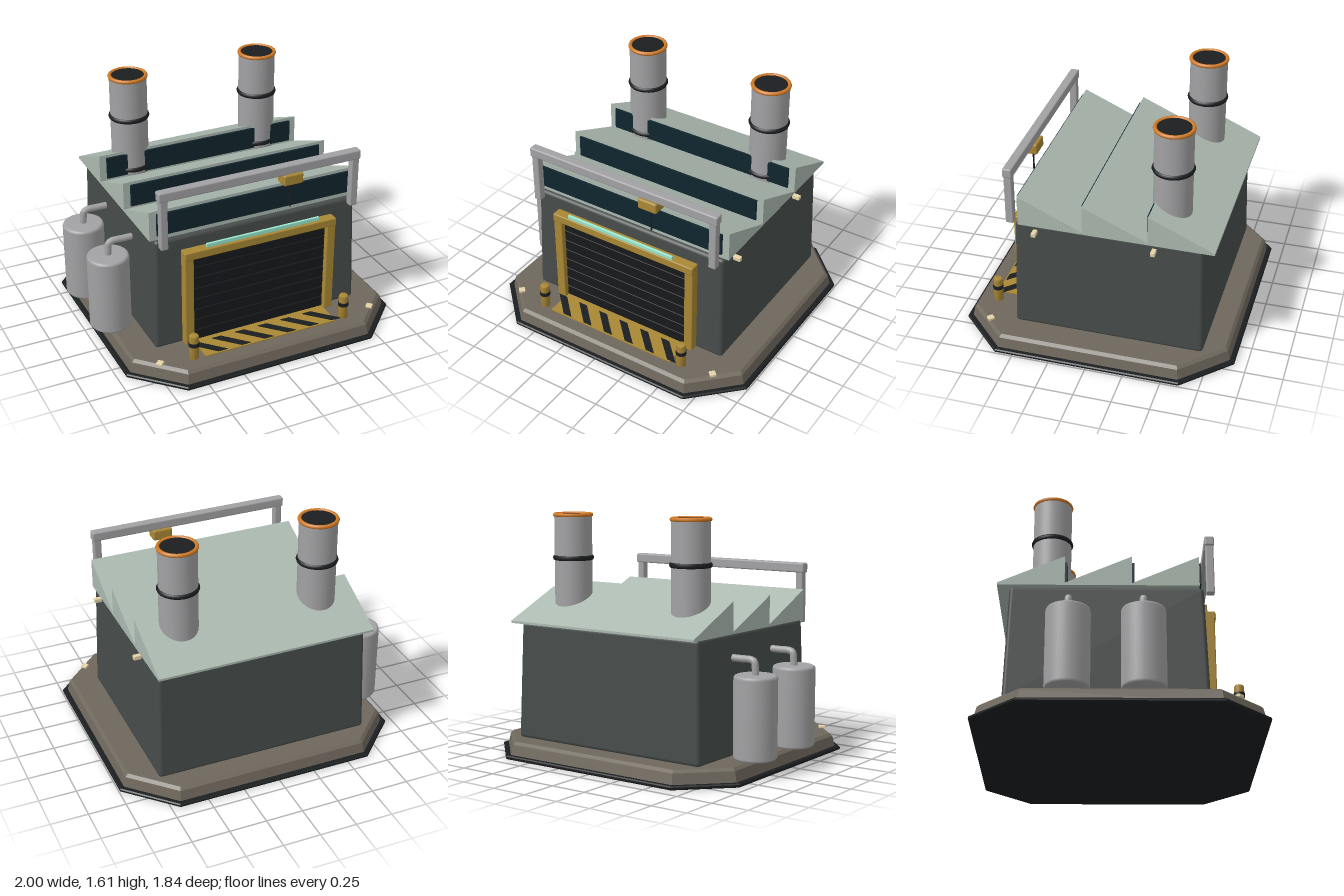
import * as THREE from 'three';
import { RoundedBoxGeometry } from 'three/addons/geometries/RoundedBoxGeometry.js';

const mat = (color) => new THREE.MeshStandardMaterial({ color });
const M = {
  trim: mat(0x1b1e20), base: mat(0x6e675c), wall: mat(0x474d4b), roof: mat(0xabb9b0),
  glass: mat(0x11262e), metal: mat(0xa2a2a4), gold: mat(0xa98734), orange: mat(0xd07a26),
  door: mat(0x17191a), light: mat(0x9be8cf), lamp: mat(0xe6d3a8),
};
const CX = 0.025; // centre line of the building

export function createModel() {
  const root = new THREE.Group();

  const add = (name, geometry, material, x = 0, y = 0, z = 0, parent = root) => {
    const mesh = new THREE.Mesh(geometry, material);
    mesh.name = name;
    mesh.position.set(x, y, z);
    parent.add(mesh);
    return mesh;
  };
  // Softly rounded block given by its extents
  const block = (name, material, [x0, x1], [y0, y1], [z0, z1], r = 0.008) => {
    const w = x1 - x0, h = y1 - y0, d = z1 - z0;
    const geo = r ? new RoundedBoxGeometry(w, h, d, 2, r) : new THREE.BoxGeometry(w, h, d);
    return add(name, geo, material, (x0 + x1) / 2, (y0 + y1) / 2, (z0 + z1) / 2);
  };

  // Octagonal slab lofted through rings of [inset, height]
  const slab = (rings) => {
    const ring = ([inset, y]) => {
      const a = 0.97 - inset, b = 0.92 - inset, c = 0.3 - inset * 0.586;
      return [[a, b - c], [a - c, b], [c - a, b], [-a, b - c], [-a, c - b], [c - a, -b], [a - c, -b], [a, c - b]]
        .map(([x, z]) => [x, y, z]);
    };
    const loops = rings.map(ring);
    const pos = [];
    const tri = (...p) => p.forEach((v) => pos.push(...v));
    const top = loops.length - 1;
    for (let i = 0; i < 8; i++) {
      const j = (i + 1) % 8;
      for (let k = 0; k < top; k++) {
        const [a, b, c, d] = [loops[k][i], loops[k][j], loops[k + 1][j], loops[k + 1][i]];
        tri(a, d, c);
        tri(a, c, b);
      }
      tri([0, rings[0][1], 0], loops[0][i], loops[0][j]);
      tri([0, rings[top][1], 0], loops[top][j], loops[top][i]);
    }
    const geo = new THREE.BufferGeometry();
    geo.setAttribute('position', new THREE.Float32BufferAttribute(pos, 3));
    geo.computeVertexNormals();
    return geo;
  };
  add('baseTrim', slab([[0.007, 0], [0, 0.007], [0, 0.018], [0.007, 0.025]]), M.trim, CX);
  add('basePlatform', slab([[0.03, 0.015], [0.048, 0.092], [0.068, 0.11]]), M.base, CX);

  // Walls: rounded box drawn in towards the top
  const walls = new RoundedBoxGeometry(1.47, 0.78, 1.27, 3, 0.025);
  const p = walls.attributes.position;
  for (let i = 0; i < p.count; i++) {
    const t = p.getY(i) / 0.78 + 0.5;
    p.setX(i, p.getX(i) * (1 - 0.03 * t));
    p.setZ(i, p.getZ(i) * (1 - 0.035 * t));
  }
  add('walls', walls, M.wall, CX, 0.495, -0.085);

  // Saw-tooth roof with a glazed strip on each upright face
  const tooth = new THREE.Shape([[0, 0], [0.425, 0], [0.425, 0.205], [0, 0.015]].map(([x, y]) => new THREE.Vector2(x, y)));
  const toothGeo = new THREE.ExtrudeGeometry(tooth, { depth: 1.475, bevelEnabled: false });
  toothGeo.rotateY(-Math.PI / 2); // profile along z, length along -x
  for (let i = 0; i < 3; i++) {
    const front = 0.5 - i * 0.425;
    add('roofTooth', toothGeo, M.roof, 0.7625, 0.885, front - 0.425);
    block('roofWindow', M.glass, [-0.665, 0.715], [0.92, 1.07], [front - 0.01, front + 0.015], 0);
  }

  // Chimneys
  for (const x of [-0.455, 0.5]) {
    const chimney = new THREE.Group();
    chimney.name = 'chimney';
    chimney.position.set(x, 0, -0.443);
    root.add(chimney);
    add('stack', new THREE.CylinderGeometry(0.125, 0.125, 0.71, 32), M.metal, 0, 1.24, 0, chimney);
    add('flue', new THREE.CylinderGeometry(0.112, 0.112, 0.01, 32), M.trim, 0, 1.593, 0, chimney);
    const rim = add('rim', new THREE.TorusGeometry(0.12, 0.0135, 8, 32), M.orange, 0, 1.593, 0, chimney);
    rim.rotation.x = Math.PI / 2;
    for (const y of [0.95, 1.31]) {
      const band = add('band', new THREE.TorusGeometry(0.118, 0.019, 8, 32), M.trim, 0, y, 0, chimney);
      band.rotation.x = Math.PI / 2;
    }
  }

  // Storage tanks with elbow pipes into the wall
  const tankProfile = [[0, 0.11], [0.13, 0.11], [0.139, 0.125], [0.139, 0.62], [0.134, 0.634], [0.122, 0.64], [0, 0.64]]
    .map(([r, y]) => new THREE.Vector2(r, y));
  const elbow = new THREE.CatmullRomCurve3([
    [0, 0.62, 0], [0.004, 0.68, 0], [0.01, 0.72, 0], [0.035, 0.732, 0], [0.1, 0.732, 0], [0.19, 0.732, 0],
  ].map((v) => new THREE.Vector3(...v)));
  for (const z of [-0.32, 0.14]) {
    add('tank', new THREE.LatheGeometry(tankProfile, 32), M.metal, -0.861, 0, z);
    add('tankPipe', new THREE.TubeGeometry(elbow, 24, 0.023, 10), M.metal, -0.861, 0, z);
  }

  // Loading door: slatted shutter in a heavy frame
  block('door', M.door, [-0.47, 0.515], [0.11, 0.75], [0.5, 0.562], 0);
  for (let i = 0; i < 8; i++) {
    const y = 0.115 + i * 0.079;
    block('doorSlat', M.door, [-0.46, 0.505], [y, y + 0.073], [0.55, 0.57], 0.004);
  }
  block('doorPost', M.gold, [-0.52, -0.457], [0.11, 0.76], [0.54, 0.605]);
  block('doorPost', M.gold, [0.502, 0.565], [0.11, 0.76], [0.54, 0.605]);
  block('doorLintel', M.gold, [-0.52, 0.565], [0.745, 0.802], [0.538, 0.61]);
  block('doorLight', M.light, [-0.38, 0.425], [0.825, 0.853], [0.612, 0.628], 0.003);

  // Striped loading apron
  block('apron', M.gold, [-0.455, 0.5], [0.105, 0.117], [0.57, 0.77], 0);
  const stripe = new THREE.Shape([[-0.13, -0.075], [-0.065, -0.075], [0.08, 0.075], [0.015, 0.075]]
    .map(([x, z]) => new THREE.Vector2(x, z)));
  const stripeGeo = new THREE.ExtrudeGeometry(stripe, { depth: 0.006, bevelEnabled: false });
  stripeGeo.rotateX(Math.PI / 2);
  for (let i = 0; i < 6; i++) add('apronStripe', stripeGeo, M.trim, -0.375 + i * 0.167, 0.121, 0.685);

  // Bollards beside the apron
  for (const x of [-0.525, 0.57]) {
    const profile = [[0, 0.11], [0.032, 0.11], [0.032, 0.272], [0.026, 0.281], [0, 0.281]];
    add('bollard', new THREE.LatheGeometry(profile.map(([r, y]) => new THREE.Vector2(r, y)), 20), M.gold, x, 0, 0.74);
    add('bollardBand', new THREE.CylinderGeometry(0.035, 0.035, 0.028, 20), M.trim, x, 0.215, 0.74);
  }

  // Hoist gantry
  block('gantryPost', M.metal, [-0.675, -0.625], [0.857, 1.21], [0.545, 0.598]);
  block('gantryPost', M.metal, [0.67, 0.722], [0.857, 1.21], [0.545, 0.598]);
  block('gantryBeam', M.metal, [-0.685, 0.73], [1.195, 1.26], [0.54, 0.602], 0.01);
  block('hoist', M.gold, [0.165, 0.303], [1.125, 1.2], [0.52, 0.62], 0.012);
  add('hoistCable', new THREE.CylinderGeometry(0.006, 0.006, 0.19, 8), M.trim, 0.235, 1.045, 0.57);

  // Marker lamps on the wall and on the platform corners
  for (const z of [-0.387, 0.392]) block('wallLamp', M.lamp, [0.735, 0.79], [0.82, 0.85], [z - 0.015, z + 0.015], 0.004);
  for (const x of [-0.75, 0.793]) {
    const lamp = block('cornerLamp', M.lamp, [x - 0.021, x + 0.021], [0.105, 0.125], [0.694, 0.736], 0.004);
    lamp.rotation.y = Math.PI / 4;
  }

  return root;
}
